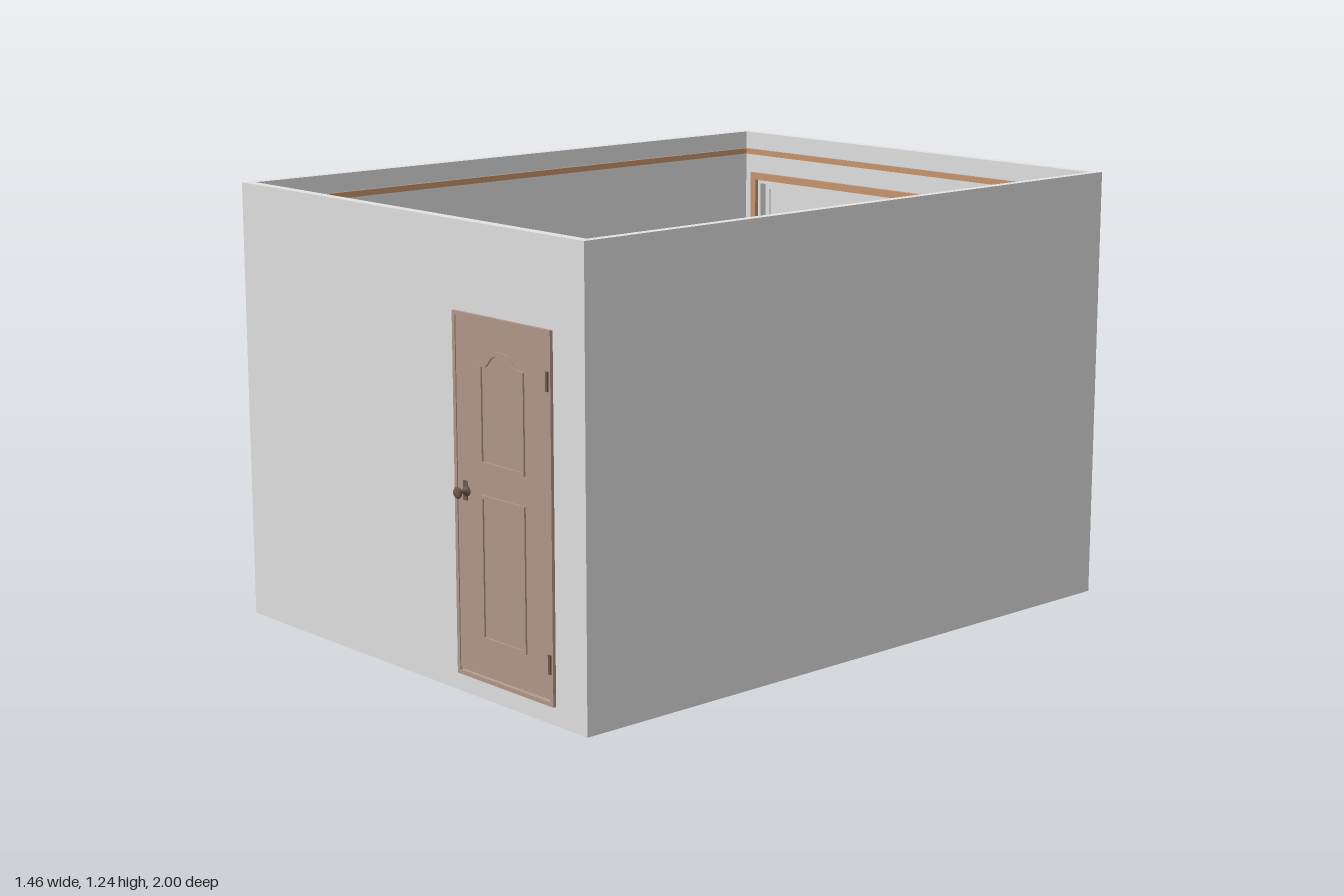
import * as THREE from 'three';
import { RoundedBoxGeometry } from 'three/addons/geometries/RoundedBoxGeometry.js';

const mat = (name, color, side = THREE.FrontSide) => {
  const m = new THREE.MeshStandardMaterial({ color, side });
  m.name = name;
  return m;
};

export function createModel() {
  const room = new THREE.Group();
  room.name = 'bedroom';
  const white = mat('white paint', 0xe2e2e2);
  const floorWood = mat('floor wood', 0xe2bd9e);
  const trimWood = mat('trim wood', 0xc79670);
  const brown = mat('brown wood', 0xb3988a);
  const bronze = mat('dark bronze', 0x6f5a4d);
  const beige = mat('beige wood', 0xdccbad);
  const shadeBrown = mat('lamp shade brown', 0xa98a76, THREE.DoubleSide);
  const grey = mat('dark grey', 0x66676a);

  const group = (name, parent = room) => {
    const g = new THREE.Group();
    g.name = name;
    parent.add(g);
    return g;
  };
  const add = (parent, name, geo, m, x = 0, y = 0, z = 0) => {
    const mesh = new THREE.Mesh(geo, m);
    mesh.name = name;
    mesh.position.set(x, y, z);
    parent.add(mesh);
    return mesh;
  };
  // Box given by its limits on each axis
  const box = (parent, name, m, x0, x1, y0, y1, z0, z1) =>
    add(parent, name, new THREE.BoxGeometry(x1 - x0, y1 - y0, z1 - z0), m,
      (x0 + x1) / 2, (y0 + y1) / 2, (z0 + z1) / 2);
  // Rectangular frame in the xy plane
  const frame = (parent, name, m, x0, x1, y0, y1, z0, z1, w) => {
    box(parent, name, m, x0, x0 + w, y0, y1, z0, z1);
    box(parent, name, m, x1 - w, x1, y0, y1, z0, z1);
    box(parent, name, m, x0 + w, x1 - w, y0, y0 + w, z0, z1);
    box(parent, name, m, x0 + w, x1 - w, y1 - w, y1, z0, z1);
  };
  const cyl = (parent, name, m, r0, r1, h, x, y, z, open = false) =>
    add(parent, name, new THREE.CylinderGeometry(r0, r1, h, 32, 1, open), m, x, y, z);

  // Walls, floor and trims
  const H = 1.24, X = 0.73, xi = 0.705, zb = -0.983, zbi = -0.955, zf = 0.957, zfi = 0.927;
  const walls = group('walls');
  box(walls, 'leftWall', white, xi, X, 0, H, zb, zf);
  box(walls, 'rightWall', white, -X, -xi, 0, H, zb, zf);
  box(walls, 'frontWall', white, -xi, xi, 0, H, zfi, zf);
  const wx0 = -0.66, wx1 = 0.22, wy0 = 0.05, wy1 = 1.1;
  box(walls, 'backWall', white, -xi, wx0, 0, H, zb, zbi);
  box(walls, 'backWall', white, wx1, xi, 0, H, zb, zbi);
  box(walls, 'backWall', white, wx0, wx1, wy1, H, zb, zbi);
  box(walls, 'backWall', white, wx0, wx1, 0, wy0, zb, zbi);
  box(room, 'floor', floorWood, -xi, xi, 0.001, 0.045, zbi, zfi);
  const t = 0.009;
  const trim = (name, y0, y1) => {
    box(room, name, trimWood, -xi, -xi + t, y0, y1, zbi, zfi);
    box(room, name, trimWood, xi - t, xi, y0, y1, zbi, zfi);
    box(room, name, trimWood, -xi + t, xi - t, y0, y1, zbi, zbi + t);
    box(room, name, trimWood, -xi + t, xi - t, y0, y1, zfi - t, zfi);
  };
  trim('crownTrim', 1.17, 1.187);

  // Sliding window with two panels
  const win = group('slidingWindow');
  frame(win, 'windowFrame', white, wx0, wx1, wy0, wy1, -1.0, zbi, 0.022);
  frame(win, 'windowCasing', trimWood, wx0 - 0.012, wx1 + 0.012, wy0, wy1 + 0.012, zbi, zbi + 0.012, 0.022);
  const panel = (name, x0, x1, z) => {
    box(win, name, white, x0, x1, wy0 + 0.022, wy1 - 0.022, z - 0.004, z + 0.004);
    frame(win, name + 'Border', white, x0, x1, wy0 + 0.022, wy1 - 0.022, z - 0.008, z + 0.008, 0.018);
  };
  panel('outerPanel', wx0 + 0.022, -0.19, -0.986);
  panel('innerPanel', -0.22, wx1 - 0.022, -0.967);
  box(win, 'windowHandle', grey, -0.212, -0.204, 0.5, 0.6, -0.959, -0.95);
  for (let i = 0; i < 12; i++) {
    const x = -0.6 + i * 0.034;
    box(win, 'trackSlot', grey, x, x + 0.016, wy0 + 0.008, wy0 + 0.012, -1.001, -0.999);
  }

  // Door, moulded on both faces
  const door = group('door');
  const dz0 = 0.921, dz1 = 0.963;
  box(door, 'doorLeaf', brown, 0.232, 0.598, 0.065, 0.997, dz0, dz1);
  frame(door, 'doorFrame', brown, 0.222, 0.61, 0.05, 1.008, dz0 - 0.004, dz1 + 0.003, 0.011);
  const outline = (Cls, y0, y1, arch, inset) => {
    const s = new Cls(), a = 0.33 + inset, b = 0.506 - inset, c = 0.418, top = y1 - inset;
    s.moveTo(a, y0 + inset);
    s.lineTo(b, y0 + inset);
    s.lineTo(b, top);
    if (arch) {
      s.lineTo(b - 0.008, top);
      s.bezierCurveTo(c + 0.045, top, c + 0.05, top + arch, c, top + arch);
      s.bezierCurveTo(c - 0.05, top + arch, c - 0.045, top, a + 0.008, top);
    }
    s.lineTo(a, top);
    s.closePath();
    return s;
  };
  for (const [y0, y1, arch] of [[0.163, 0.547, 0], [0.625, 0.888, 0.037]]) {
    const ring = outline(THREE.Shape, y0, y1, arch, 0);
    ring.holes.push(outline(THREE.Path, y0, y1, arch, 0.009));
    const geo = new THREE.ExtrudeGeometry(ring, { depth: 0.006, bevelEnabled: false, curveSegments: 10 });
    add(door, 'panelMoulding', geo, brown, 0, 0, dz1 - 0.001);
    add(door, 'panelMoulding', geo, brown, 0, 0, dz0 - 0.005);
  }
  const knobProfile = [[0, 0], [0.014, 0], [0.014, 0.004], [0.005, 0.007], [0.005, 0.02],
    [0.013, 0.026], [0.016, 0.031], [0.012, 0.036], [0, 0.037]].map(p => new THREE.Vector2(...p));
  for (const s of [1, -1]) {
    const knob = add(door, 'doorKnob', new THREE.LatheGeometry(knobProfile, 24), bronze, 0.27, 0.545, s > 0 ? dz1 : dz0);
    knob.rotation.x = s * Math.PI / 2;
    if (s < 0) knob.scale.y = 0.6;
    const z = s > 0 ? dz1 : dz0;
    box(door, 'knobPlate', bronze, 0.257, 0.273, 0.52, 0.572, z - 0.003, z + 0.003);
  }
  for (const y of [0.16, 0.88]) box(door, 'hinge', bronze, 0.596, 0.604, y - 0.025, y + 0.025, dz1, dz1 + 0.008);

  // Light switch beside the door
  box(room, 'switchPlate', white, 0.12, 0.18, 0.59, 0.63, zfi - 0.006, zfi);
  for (const x of [0.135, 0.155]) box(room, 'switchKey', grey, x, x + 0.01, 0.6, 0.62, zfi - 0.008, zfi - 0.005);

  // Air conditioner with a curved lower front
  const ac = group('airConditioner');
  const prof = new THREE.Shape();
  prof.moveTo(0, 0);
  prof.lineTo(0.06, 0);
  prof.quadraticCurveTo(0.095, 0.015, 0.105, 0.05);
  prof.lineTo(0.105, 0.14);
  prof.lineTo(0, 0.14);
  const acBody = add(ac, 'airConditionerBody',
    new THREE.ExtrudeGeometry(prof, { depth: 0.39, bevelEnabled: false, curveSegments: 8 }), white, 0.67, 0.96, zbi);
  acBody.rotation.y = -Math.PI / 2;
  box(ac, 'airSlot', grey, 0.3, 0.65, 1.01, 1.014, -0.852, -0.849);

  // Bed
  const bed = group('bed');
  box(bed, 'bedBase', beige, -0.4, 0.6, 0.07, 0.16, -0.6, 0.137);
  for (const z of [-0.6, 0.122]) for (const x of [-0.4, 0.585])
    box(bed, 'bedLeg', beige, x, x + 0.015, 0.045, 0.17, z, z + 0.015);
  add(bed, 'mattress', new RoundedBoxGeometry(1.0, 0.15, 0.725, 5, 0.045), white, 0.1, 0.225, -0.232);
  const pillowGeo = new THREE.SphereGeometry(1, 32, 20);
  const pp = pillowGeo.attributes.position;
  const square = v => Math.sign(v) * Math.pow(Math.abs(v), 0.45);
  for (let i = 0; i < pp.count; i++) {
    const x = square(pp.getX(i)), y = pp.getY(i), z = square(pp.getZ(i));
    const k = 1 / Math.max(1, Math.abs(x), Math.abs(z));
    pp.setXYZ(i, x * k * 0.077, y * 0.032, z * k * 0.125);
  }
  pillowGeo.computeVertexNormals();
  for (const z of [-0.356, -0.1]) add(bed, 'pillow', pillowGeo, white, 0.52, 0.32, z);

  // Headboard cabinet
  const head = group('headboard');
  box(head, 'headboardCabinet', beige, 0.602, 0.694, 0.045, 0.44, -0.605, 0.148);
  for (const z of [-0.53, 0.065]) box(head, 'headboardSlot', bronze, 0.65, 0.66, 0.438, 0.443, z - 0.03, z + 0.03);
  add(head, 'clockBody', new RoundedBoxGeometry(0.035, 0.03, 0.065, 3, 0.012), grey, 0.642, 0.455, -0.445);

  // Floor lamp
  const lamp = group('floorLamp'), lx = 0.583, lz = -0.745;
  cyl(lamp, 'lampBase', bronze, 0.06, 0.065, 0.015, lx, 0.052, lz);
  cyl(lamp, 'lampPole', bronze, 0.007, 0.007, 0.6, lx, 0.355, lz);
  cyl(lamp, 'lampShade', shadeBrown, 0.045, 0.082, 0.13, lx, 0.665, lz, true);
  cyl(lamp, 'lampDiffuser', white, 0.043, 0.043, 0.004, lx, 0.715, lz);
  cyl(lamp, 'lampCap', bronze, 0.009, 0.009, 0.02, lx, 0.725, lz);
  for (let i = 0; i < 3; i++) {
    const spoke = add(lamp, 'lampSpoke', new THREE.BoxGeometry(0.044, 0.003, 0.003).translate(0.022, 0, 0), bronze, lx, 0.725, lz);
    spoke.rotation.y = 0.5 + i * Math.PI * 2 / 3;
  }

  // Desk with a drawer block
  const desk = group('desk');
  box(desk, 'deskTop', brown, -0.704, -0.09, 0.385, 0.41, 0.695, 0.925);
  box(desk, 'deskSide', brown, -0.704, -0.684, 0.045, 0.385, 0.7, 0.922);
  box(desk, 'deskDrawers', brown, -0.28, -0.095, 0.045, 0.385, 0.7, 0.922);
  box(desk, 'deskBack', brown, -0.684, -0.28, 0.2, 0.385, 0.905, 0.922);
  for (const y of [0.12, 0.22, 0.32]) box(desk, 'drawerPull', bronze, -0.21, -0.165, y, y + 0.01, 0.692, 0.7);

  // Small things on the desk
  box(desk, 'socketStrip', beige, -0.303, -0.19, 0.41, 0.425, 0.81, 0.856);
  for (let i = 0; i < 4; i++) {
    const x = -0.288 + i * 0.024;
    box(desk, 'socketHole', grey, x, x + 0.012, 0.424, 0.427, 0.828, 0.838);
  }
  cyl(desk, 'figurineBody', beige, 0.01, 0.016, 0.05, -0.6, 0.435, 0.785);
  add(desk, 'figurineHead', new THREE.SphereGeometry(0.014, 16, 12), beige, -0.6, 0.472, 0.785);
  for (const s of [-1, 1]) add(desk, 'figurineArm', new THREE.SphereGeometry(0.009, 12, 8), beige, -0.6 + s * 0.012, 0.445, 0.785 + s * 0.02);

  return room;
}
